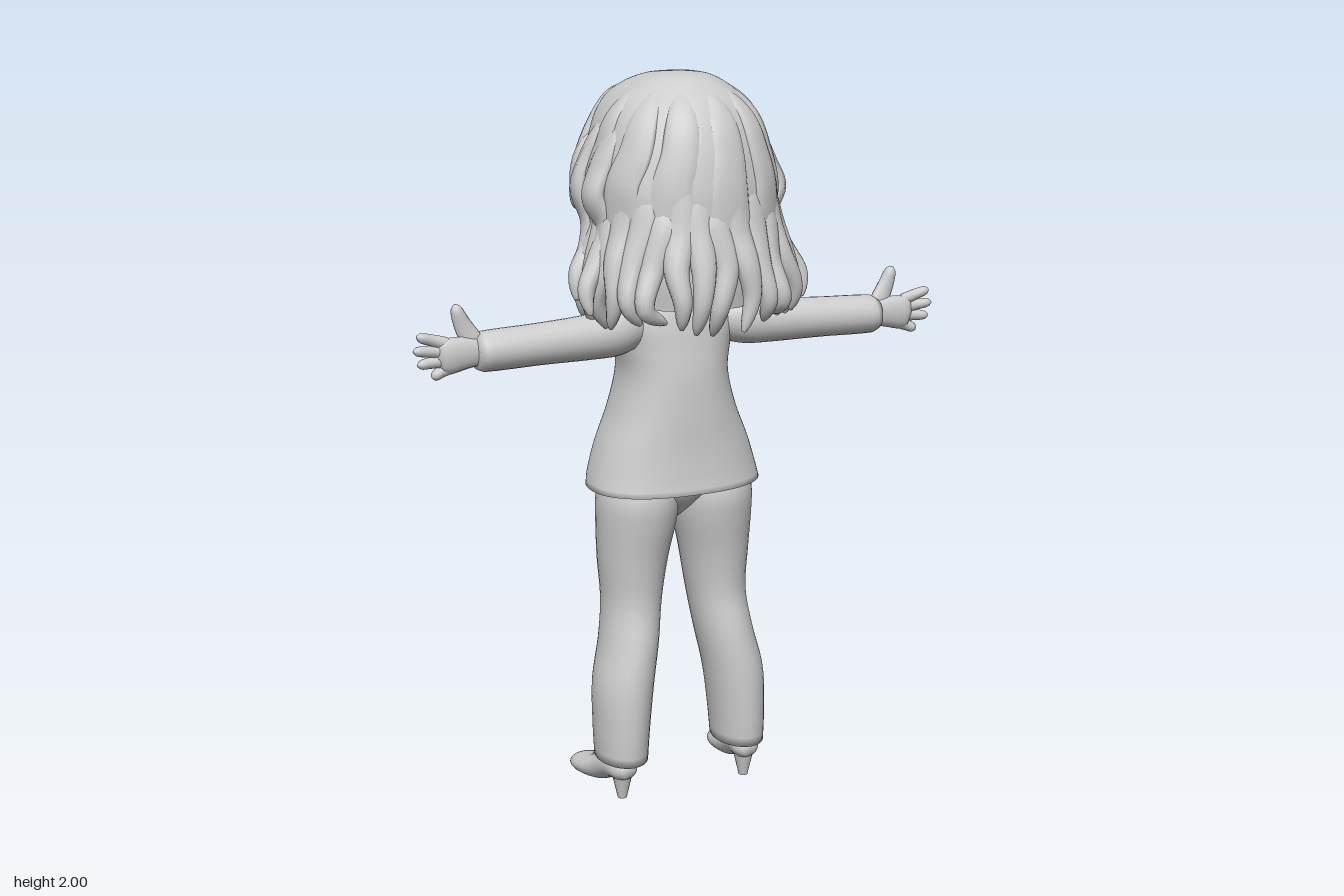
import * as THREE from 'three';

const V = (x, y, z) => new THREE.Vector3(x, y, z);
const grey = new THREE.MeshStandardMaterial({ color: 0xcccccc, side: THREE.DoubleSide });
grey.name = 'clay grey';

function add(parent, name, geo) {
  const m = new THREE.Mesh(geo, grey);
  m.name = name;
  parent.add(m);
  return m;
}

// Skin a surface over a list of rings with equal point counts
function loft(rings, closed = true) {
  const n = rings[0].length, pos = [], idx = [];
  rings.forEach(r => r.forEach(p => pos.push(p.x, p.y, p.z)));
  for (let i = 0; i < rings.length - 1; i++)
    for (let j = 0; j < (closed ? n : n - 1); j++) {
      const a = i * n + j, b = i * n + (j + 1) % n;
      idx.push(a, a + n, b, b, a + n, b + n);
    }
  const g = new THREE.BufferGeometry();
  g.setAttribute('position', new THREE.Float32BufferAttribute(pos, 3));
  g.setIndex(idx);
  g.computeVertexNormals();
  return g;
}

// Close both ends of a ring list with a collapsed ring
function capped(rings) {
  const mid = r => {
    const c = r.reduce((s, p) => s.add(p), V(0, 0, 0)).divideScalar(r.length);
    return r.map(() => c.clone());
  };
  return [mid(rings[0]), ...rings, mid(rings[rings.length - 1])];
}

// Smoothly resample a table whose rows are keyed by their first column
function sample(table, key) {
  const s = Math.sign(table[table.length - 1][0] - table[0][0]);
  let i = 0;
  while (i < table.length - 2 && (key - table[i + 1][0]) * s > 0) i++;
  const A = table[i], B = table[i + 1], P = table[Math.max(i - 1, 0)], Q = table[Math.min(i + 2, table.length - 1)];
  const t = THREE.MathUtils.clamp((key - A[0]) / (B[0] - A[0]), 0, 1);
  return A.map((a, k) => {
    const m0 = (B[k] - P[k]) / (B[0] - P[0]) * (B[0] - A[0]);
    const m1 = (Q[k] - A[k]) / (Q[0] - A[0]) * (B[0] - A[0]);
    const t2 = t * t, t3 = t2 * t;
    return (2 * t3 - 3 * t2 + 1) * a + (t3 - 2 * t2 + t) * m0 + (3 * t2 - 2 * t3) * B[k] + (t3 - t2) * m1;
  });
}
const steps = (a, b, n) => Array.from({ length: n + 1 }, (_, i) => a + (b - a) * i / n);
const around = n => steps(0, 2 * Math.PI, n).slice(0, n);
const boxy = (v, e) => Math.sign(v) * Math.pow(Math.abs(v), e);

// Tapered flat strand along a path; thickness points away from the head axis unless given
function strand(pts, w0, w1, h, out) {
  const c = new THREE.CatmullRomCurve3(pts.map(p => V(...p))), n = pts.length * 4;
  return loft(capped(steps(0.01, 0.99, n).map(t => {
    const p = c.getPoint(t), d = c.getTangent(t);
    const o = out ? out.clone() : V(p.x, (p.y - 1.65) * 0.4, p.z + 0.03);
    o.addScaledVector(d, -o.dot(d)).normalize();
    const s = d.clone().cross(o), k = Math.sqrt(1 - Math.pow(Math.abs(2 * t - 1), 6));
    const w = THREE.MathUtils.lerp(w0, w1, t) * k;
    return around(12).map(a => p.clone()
      .addScaledVector(s, w * Math.cos(a)).addScaledVector(o, Math.min(h * k, w) * Math.sin(a)));
  })));
}

// Upright form; rows: y, centre x, half width, back z, front z
function upright(table, n, count = 32) {
  return loft(capped(steps(table[0][0], table[table.length - 1][0], n).map(y => {
    const [, cx, rx, zb, zf] = sample(table, y);
    return around(count).map(a =>
      V(cx - rx * Math.sin(a), y, (zb + zf) / 2 + (zb - zf) / 2 * Math.cos(a)));
  })));
}

// Hair cap; rows: y, half width, back z, front z, half arc from the back
const hairRows = [
  [2.0, 0.001, -0.03, -0.032, 3.14], [1.99, 0.075, 0.04, -0.14, 3.14], [1.95, 0.15, 0.11, -0.235, 3.14],
  [1.9, 0.193, 0.155, -0.266, 3.14], [1.84, 0.218, 0.185, -0.276, 3.05], [1.78, 0.235, 0.203, -0.27, 2.68],
  [1.7, 0.25, 0.216, -0.26, 2.42], [1.6, 0.235, 0.218, -0.22, 2.15], [1.5, 0.245, 0.222, -0.2, 1.9], [1.42, 0.235, 0.215, -0.2, 1.75]];
function hairPoint(y, a, grow = 0) {
  const [, rx, zb, zf] = sample(hairRows, y);
  const part = Math.exp(-(((a + 2.95) / 0.12) ** 2));
  const k = 1 + grow + 0.012 * Math.sin(7 * a + 5 * y) - 0.06 * part;
  const e = Math.cos(a) < 0 ? 0.78 : 1;
  return V(rx * k * boxy(Math.sin(a), e), y, (zb + zf) / 2 + (zb - zf) / 2 * k * boxy(Math.cos(a), e));
}

function buildHead(g) {
  // Face: sphere narrowed toward a forward chin, with nose, lips and eye sockets
  const face = new THREE.SphereGeometry(1, 64, 56), p = face.attributes.position;
  const bump = (x, y, cx, cy, sx, sy) => Math.exp(-(((x - cx) / sx) ** 2) - (((y - cy) / sy) ** 2));
  for (let i = 0; i < p.count; i++) {
    const low = Math.max(0, -p.getY(i));
    const x = p.getX(i) * 0.18 * (1 - 0.22 * low * low), y = 1.685 + p.getY(i) * 0.212;
    let z = -0.05 + p.getZ(i) * 0.172 - 0.075 * low;
    if (p.getZ(i) < 0) z += -0.02 * bump(x, y, 0, 1.575, 0.02, 0.022) - 0.01 * bump(x, y, 0, 1.525, 0.035, 0.012)
      - 0.008 * bump(x, y, 0, 1.49, 0.04, 0.02) + 0.014 * (bump(x, y, 0.07, 1.64, 0.04, 0.03) + bump(x, y, -0.07, 1.64, 0.04, 0.03));
    p.setXYZ(i, x, y, z);
  }
  face.computeVertexNormals();
  add(g, 'face', face);
  add(g, 'neck', upright([[1.36, 0, 0.065, 0, -0.13], [1.45, 0, 0.05, -0.015, -0.11], [1.56, 0, 0.052, 0, -0.11]], 6, 20));
}

function buildHair(g) {
  add(g, 'hairCap', loft([...steps(2.0, 1.98, 8), ...steps(1.97, 1.42, 40)].map(y => {
    const A = Math.min(Math.PI, sample(hairRows, y)[4]);
    return steps(-A, A, 96).map(a => hairPoint(y, a));
  }), false));
  // Broad locks running down the back from the crown
  for (const a of [-1.75, -1.1, -0.5, 0.15, 0.75, 1.3, 1.8])
    add(g, 'broadLock', strand(steps(1.955, 1.5, 6).map((y, i) =>
      hairPoint(y, a * (0.75 + 0.25 * Math.min(1, i / 3)) + 0.04 * Math.sin(i * 1.3 + a), -0.05).toArray()), 0.04, 0.075, 0.02));
  // Curled ends around the hem of the hair
  for (let i = 0; i < 17; i++) {
    const a = -1.85 + i * 0.231, j = Math.sin(i * 5.3), q = Math.sin(i * 2.1 + 1);
    const at = (y, k, da) => [0.235 * k * Math.sin(a + da), y, 0.01 + 0.205 * k * Math.cos(a + da)];
    add(g, 'curledEnd', strand([at(1.73 + 0.05 * q, 0.88, 0.05 * j), at(1.62, 0.98, 0.05 * j), at(1.53, 1.11 + 0.03 * q, -0.04 * j),
      at(1.44 + 0.01 * q, 1.2 + 0.05 * j, 0.06 * q), at(1.37 + 0.018 * j, 1.1 + 0.1 * q, 0.1 * j)], 0.05, 0.016, 0.025));
  }
  // Wavy side locks and those framing the face
  for (const s of [-1, 1]) {
    const lock = (name, pts, ...r) => add(g, name, strand(pts.map(([x, y, z]) => [s * x, y, z]), ...r));
    lock('sideLock', [[0.185, 1.88, -0.1], [0.225, 1.78, -0.12], [0.255, 1.7, -0.11], [0.235, 1.62, -0.09],
      [0.25, 1.55, -0.07], [0.29, 1.49, -0.04], [0.3, 1.42, -0.02]], 0.06, 0.02, 0.025);
    lock('sideLock', [[0.185, 1.88, 0], [0.235, 1.76, -0.01], [0.26, 1.69, 0], [0.23, 1.62, 0.02],
      [0.27, 1.53, 0.04], [0.305, 1.46, 0.06], [0.3, 1.4, 0.08]], 0.06, 0.016, 0.025);
    lock('frameLock', [[0.165, 1.84, -0.21], [0.205, 1.75, -0.21], [0.215, 1.67, -0.19], [0.2, 1.6, -0.15],
      [0.215, 1.53, -0.11], [0.2, 1.46, -0.09], [0.18, 1.39, -0.06]], 0.055, 0.02, 0.03);
  }
  // Swept fringe falling from the parting
  for (const [dy, dz] of [[0, 0.012], [-0.055, 0]]) {
    add(g, 'fringe', strand([[-0.03, 1.945 + dy, -0.21], [0.03, 1.925 + dy, -0.245 + dz], [0.1, 1.88 + dy, -0.255 + dz],
      [0.16, 1.81 + dy, -0.25 + dz], [0.2, 1.74 + dy, -0.235 + dz], [0.225, 1.69 + dy, -0.2]], 0.055, 0.045, 0.028));
    add(g, 'fringe', strand([[-0.08, 1.945 + dy, -0.2], [-0.12, 1.9 + dy, -0.235 + dz],
      [-0.17, 1.82 + dy, -0.238 + dz], [-0.205, 1.74 + dy, -0.23 + dz], [-0.23, 1.69 + dy, -0.19]], 0.05, 0.045, 0.026));
  }
}

function buildBody(g) {
  // Jacket rows: y, half width, back z, front z, half gap of the front opening
  const rows = [[0.885, 0.243, 0.072, -0.255, 0.42], [0.92, 0.236, 0.066, -0.262, 0.2], [1.0, 0.212, 0.058, -0.26, 0.1],
    [1.1, 0.172, 0.054, -0.255, 0.07], [1.2, 0.148, 0.048, -0.246, 0.1], [1.28, 0.158, 0.036, -0.225, 0.18],
    [1.34, 0.17, 0.026, -0.195, 0.29], [1.39, 0.145, 0.012, -0.152, 0.42], [1.43, 0.07, -0.01, -0.12, 0.65]];
  const at = (y, a, k = 1) => {
    const [, rx, zb, zf] = sample(rows, y);
    return V(rx * k * boxy(Math.sin(a), 0.85), y, (zb + zf) / 2 + (zb - zf) / 2 * k * boxy(Math.cos(a), 0.85));
  };
  const ys = steps(0.885, 1.43, 36);
  // Inner and outer skins joined at the hem
  add(g, 'jacket', loft([...ys.map(y => [y, 0.95]).reverse(), ...ys.map(y => [y, 1])].map(([y, k]) => {
    const A = Math.PI - sample(rows, y)[4];
    return steps(A, -A, 64).map(a => at(y, a, k));
  }), false));
  add(g, 'shirt', upright([[0.95, 0, 0.18, 0.03, -0.22], ...rows.slice(2).map(([y, rx, b, f]) => [y, 0, rx * 0.92, b - 0.012, f + 0.012])], 24));
  for (const s of [-1, 1]) {
    // Lapels and rolled front edges
    add(g, 'lapel', strand(steps(1.42, 1.14, 6).map(y =>
      at(y, s * (Math.PI - sample(rows, y)[4] - 0.08), 1.01).toArray()), 0.024, 0.02, 0.008));
    add(g, 'frontEdge', strand(steps(1.16, 0.9, 5).map(y => at(y, s * (Math.PI - sample(rows, y)[4])).toArray()), 0.01, 0.01, 0.008));
  }
  add(g, 'hips', upright([[0.79, 0, 0.015, -0.06, -0.1], [0.83, 0, 0.08, -0.01, -0.155], [0.88, 0, 0.16, 0.025, -0.19], [1.0, 0, 0.18, 0.035, -0.215]], 12));
}

function buildLimbs(g, s) {
  const side = new THREE.Group();
  side.name = s > 0 ? 'leftLimbs' : 'rightLimbs';
  g.add(side);
  const X = p => V(p[0] * s, p[1], p[2]);
  // Sleeve rows: x, centre y, centre z, half height, half depth
  const sleeve = [[0.07, 1.345, -0.06, 0.03, 0.03], [0.13, 1.335, -0.05, 0.058, 0.054], [0.18, 1.328, -0.04, 0.065, 0.06],
    [0.26, 1.322, -0.03, 0.06, 0.058], [0.4, 1.319, -0.02, 0.055, 0.054], [0.57, 1.314, -0.018, 0.052, 0.055], [0.58, 1.314, -0.018, 0.044, 0.047]];
  add(side, 'sleeve', loft(capped(steps(0.07, 0.58, 30).map(x => {
    const [, cy, cz, ry, rz] = sample(sleeve, x);
    return around(24).map(a => X([x, cy + ry * Math.cos(a), cz - s * rz * Math.sin(a)]));
  }))));
  // Hand with spread fingers
  const finger = (name, pts, w0, w1, h) => add(side, name, strand(pts.map(p => X(p).toArray()), w0, w1, h, V(0, 0, 1)));
  finger('palm', [[0.55, 1.315, -0.01], [0.6, 1.318, -0.007], [0.64, 1.315, -0.005], [0.685, 1.31, -0.004]], 0.036, 0.052, 0.022);
  finger('thumb', [[0.575, 1.325, -0.01], [0.602, 1.37, -0.018], [0.618, 1.405, -0.02], [0.63, 1.442, -0.02]], 0.032, 0.015, 0.017);
  for (const [y0, x1, y1] of [[1.342, 0.738, 1.372], [1.323, 0.748, 1.335], [1.303, 0.738, 1.298], [1.286, 0.7, 1.262]])
    finger('finger', [[0.645, y0, -0.005], [(0.65 + x1) / 2, (y0 + y1) / 2, -0.008], [x1, y1, 0]], 0.018, 0.013, 0.015);
  // Trouser leg
  add(side, 'trouserLeg', upright([[0.115, 0.178, 0.07, 0.054, -0.148], [0.2, 0.176, 0.075, 0.056, -0.155], [0.33, 0.167, 0.082, 0.052, -0.163],
    [0.45, 0.143, 0.08, 0.036, -0.178], [0.56, 0.128, 0.082, 0.014, -0.19], [0.68, 0.122, 0.096, 0.02, -0.2],
    [0.8, 0.112, 0.111, 0.038, -0.204], [0.86, 0.11, 0.112, 0.042, -0.205], [0.92, 0.108, 0.1, 0.025, -0.195]].map(r => [r[0], r[1] * s, ...r.slice(2)]), 32));
  // Court shoe rows: z, centre x, bottom y, top y, half width
  const shoe = [[0.025, 0.185, 0.075, 0.11, 0.02], [0.005, 0.187, 0.06, 0.125, 0.037], [-0.05, 0.193, 0.048, 0.13, 0.043],
    [-0.12, 0.202, 0.016, 0.096, 0.044], [-0.18, 0.21, 0.006, 0.07, 0.051], [-0.235, 0.216, 0.006, 0.056, 0.044], [-0.264, 0.22, 0.016, 0.036, 0.016]];
  add(side, 'shoe', loft(capped(steps(0.025, -0.264, 24).map(z => {
    const [, cx, y0, y1, rx] = sample(shoe, z);
    return around(20).map(a => X([cx - s * rx * Math.sin(a), (y0 + y1) / 2 + (y1 - y0) / 2 * Math.cos(a), z]));
  }))));
  add(side, 'heel', new THREE.CylinderGeometry(0.032, 0.013, 0.085, 16)).position.set(0.187 * s, 0.0425, -0.018);
  add(side, 'ankle', new THREE.CylinderGeometry(0.04, 0.04, 0.12, 20)).position.set(0.187 * s, 0.15, -0.035);
}

export function createModel() {
  const g = new THREE.Group();
  g.name = 'suitedFigure';
  buildHead(g);
  buildHair(g);
  buildBody(g);
  for (const s of [-1, 1]) buildLimbs(g, s);
  return g;
}
